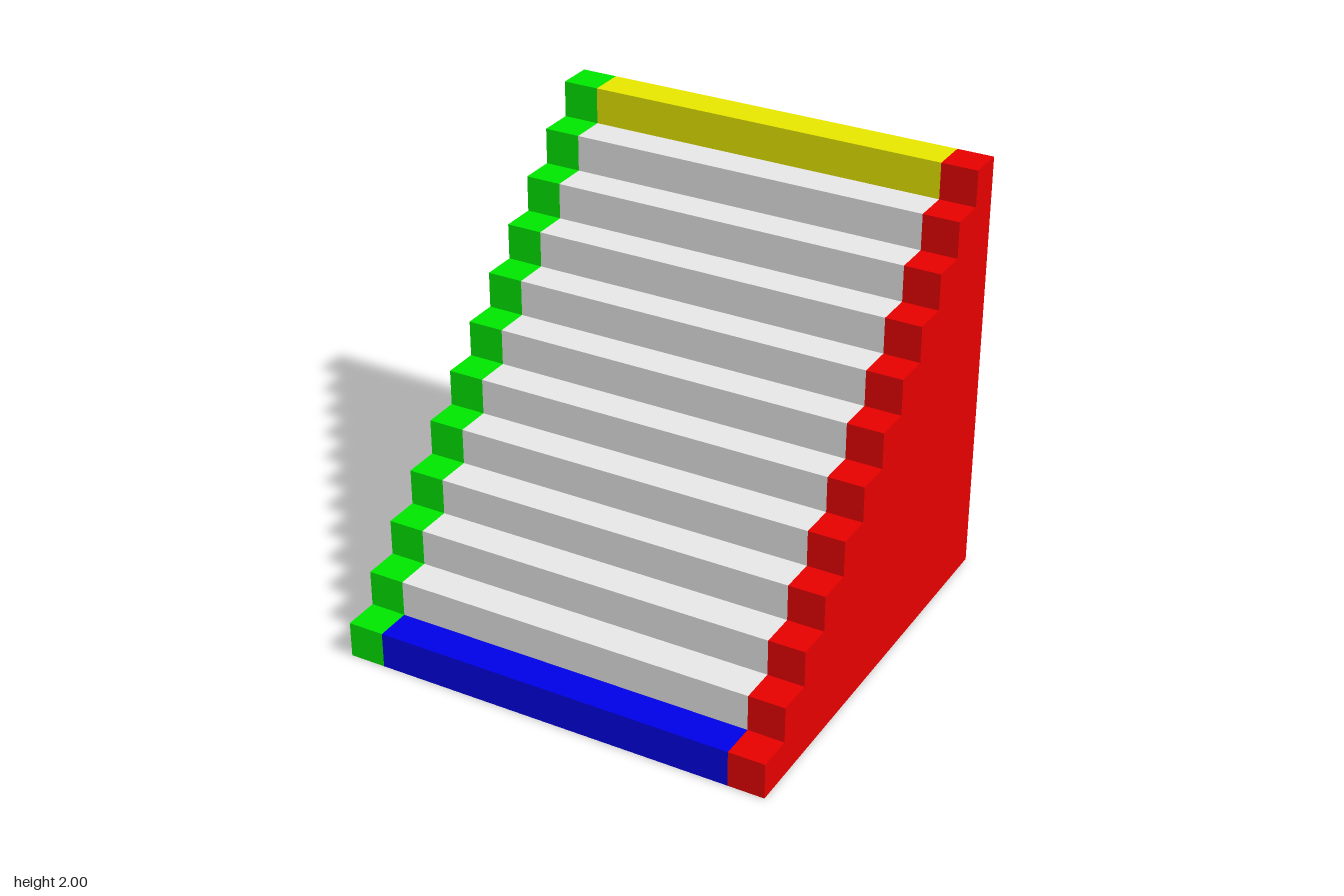
import * as THREE from 'three';

const S = 1 / 6; // rise, tread depth and side wall thickness

const material = (name, color) => {
  const m = new THREE.MeshStandardMaterial({ color });
  m.name = name;
  return m;
};

// Solid staircase profile in (z, y), extruded across x
function stairs(name, mat, steps, front, base, xMin, xMax) {
  const shape = new THREE.Shape();
  shape.moveTo(front - steps * S, base);
  shape.lineTo(front, base);
  for (let i = 0; i < steps; i++) {
    shape.lineTo(front - i * S, base + (i + 1) * S);
    shape.lineTo(front - (i + 1) * S, base + (i + 1) * S);
  }
  const geo = new THREE.ExtrudeGeometry(shape, { depth: xMax - xMin, bevelEnabled: false });
  geo.rotateY(-Math.PI / 2).translate(xMax, 0, 0);
  const mesh = new THREE.Mesh(geo, mat);
  mesh.name = name;
  return mesh;
}

function box(name, mat, w, h, d, x, y, z) {
  const mesh = new THREE.Mesh(new THREE.BoxGeometry(w, h, d), mat);
  mesh.name = name;
  mesh.position.set(x, y, z);
  return mesh;
}

export function createModel() {
  const red = material('red', 0xe60000);
  const green = material('green', 0x00e600);
  const blue = material('blue', 0x0000e6);
  const yellow = material('yellow', 0xe6e600);
  const grey = material('pale grey', 0xe6e6e6);

  const inner = 1 - S;
  const group = new THREE.Group();
  group.name = 'staircase';
  group.add(
    // Stepped side walls
    stairs('leftSide', red, 12, 1, 0, inner, 1),
    stairs('rightSide', green, 12, 1, 0, -1, -inner),
    // Ten middle steps
    stairs('middleSteps', grey, 10, inner, S, -inner, inner),
    // Bottom step continuing as the floor slab
    box('bottomStep', blue, 2 * inner, S, 2 - S, 0, S / 2, S / 2),
    // Back wall forming the top step
    box('backWall', yellow, 2 * inner, 2, S, 0, 1, -1 + S / 2)
  );
  return group;
}
